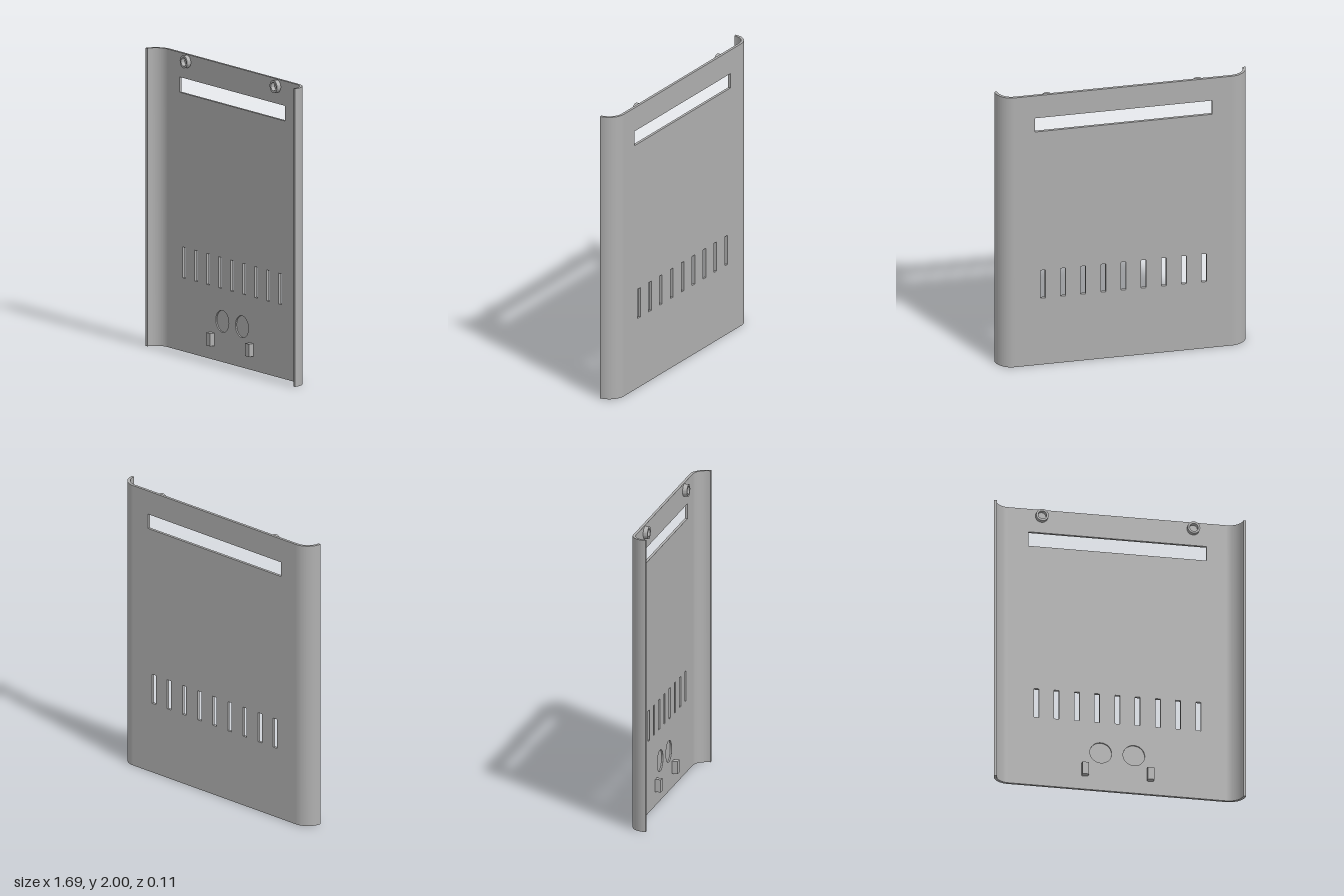
import * as THREE from 'three';
import { toCreasedNormals } from 'three/addons/utils/BufferGeometryUtils.js';

const HALF_W = 0.845, HEIGHT = 2, R = 0.114, T = 0.019;
const BACK = -0.057, INNER = BACK + T;
const FLAT = HALF_W - R;
const SEG = 24;

export function createModel() {
  const group = new THREE.Group();
  const grey = new THREE.MeshStandardMaterial({ color: 0xb0b0b0 });
  grey.name = 'grey';

  function add(name, geometry, x = 0, y = 0, z = 0) {
    const mesh = new THREE.Mesh(geometry, grey);
    mesh.name = name;
    mesh.position.set(x, y, z);
    group.add(mesh);
  }
  const extrude = (shape, depth) =>
    toCreasedNormals(new THREE.ExtrudeGeometry(shape, { depth, bevelEnabled: false, curveSegments: SEG }), 0.6);

  function rect(Type, x0, x1, y0, y1) {
    const p = new Type();
    p.moveTo(x0, y0);
    p.lineTo(x1, y0);
    p.lineTo(x1, y1);
    p.lineTo(x0, y1);
    p.closePath();
    return p;
  }
  function circle(Type, x, y, r) {
    const p = new Type();
    p.absarc(x, y, r, 0, Math.PI * 2, false);
    return p;
  }

  // Flat panel with the wide window, the row of vents and two round pockets
  const panel = rect(THREE.Shape, -FLAT, FLAT, 0, HEIGHT);
  panel.holes.push(rect(THREE.Path, -0.597, 0.597, 1.732, 1.834));
  for (let i = -4; i <= 4; i++) {
    const x = i * 0.1357;
    panel.holes.push(rect(THREE.Path, x - 0.017, x + 0.017, 0.493, 0.7));
  }
  for (const s of [-1, 1]) panel.holes.push(circle(THREE.Path, s * 0.111, 0.273, 0.073));
  add('panel', extrude(panel, T), 0, 0, BACK);

  for (const s of [-1, 1]) {
    const side = s > 0 ? 'left' : 'right';

    // Thin floor that closes each round pocket at the back
    add(side + 'PocketFloor', extrude(circle(THREE.Shape, 0, 0, 0.073), T * 0.5), s * 0.111, 0.273, BACK);

    // Quarter-round edge curling forward
    const curl = new THREE.Shape();
    const a0 = s > 0 ? 0 : Math.PI, a1 = Math.PI / 2;
    curl.absarc(s * FLAT, 0, R, a0, a1, s < 0);
    curl.absarc(s * FLAT, 0, R - T, a1, a0, s > 0);
    curl.closePath();
    add(side + 'CurledEdge', extrude(curl, HEIGHT).rotateX(-Math.PI / 2), 0, 0, BACK + R);

    // Hollow screw boss near the top
    const boss = circle(THREE.Shape, 0, 0, 0.042);
    boss.holes.push(circle(THREE.Path, 0, 0, 0.028));
    add(side + 'ScrewBoss', extrude(boss, 0.03), s * 0.508, 1.952, INNER);

    // Small locating block near the bottom
    add(side + 'Block', new THREE.BoxGeometry(0.044, 0.086, -INNER), s * 0.219, 0.138, INNER / 2);
  }
  return group;
}
